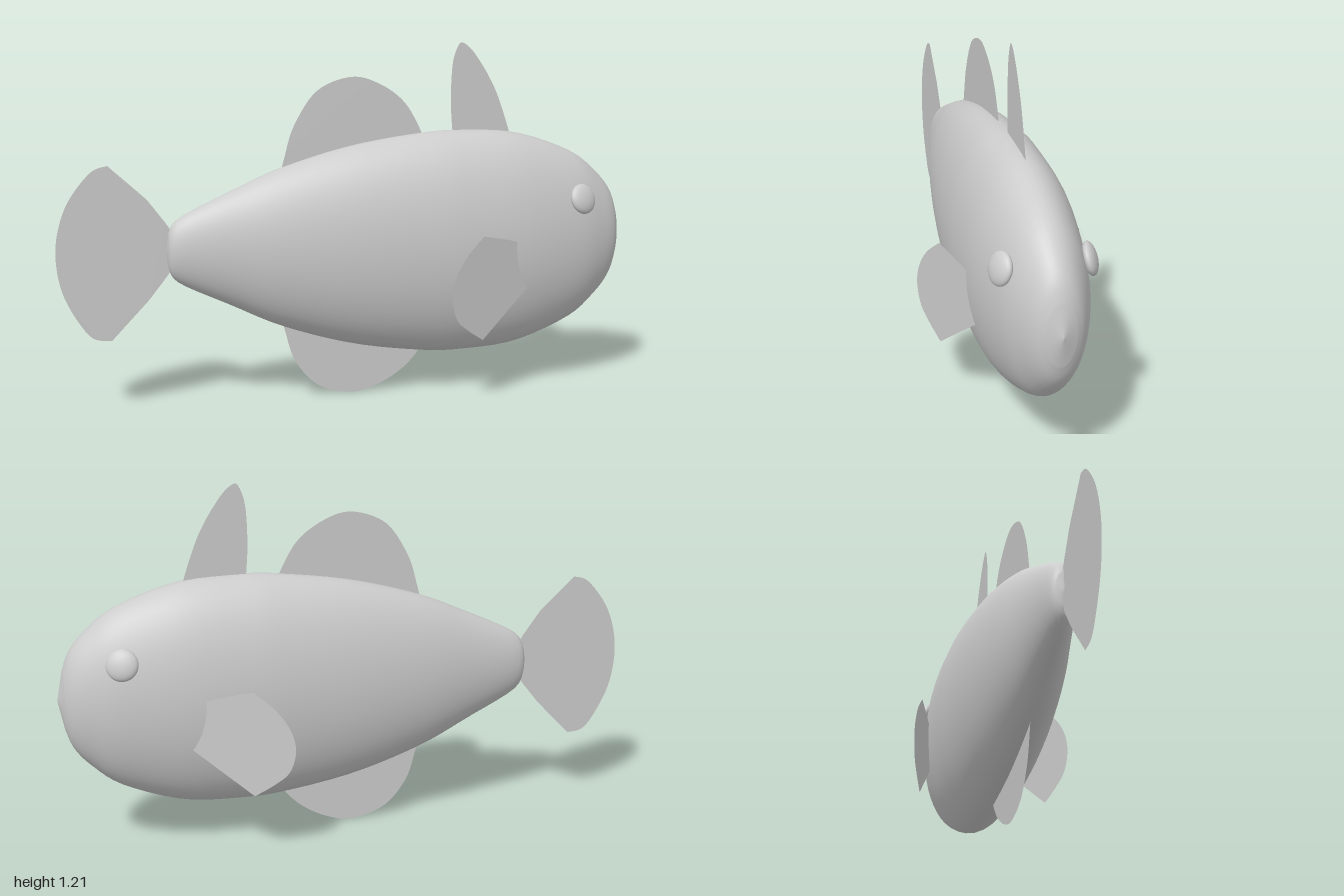
import * as THREE from 'three';

const grey = new THREE.MeshStandardMaterial({ color: 0xcccccc, side: THREE.DoubleSide });
grey.name = 'pale grey';

const vecs = (pts) => pts.map(([x, y]) => new THREE.Vector2(x, y));

// Flat fin: a smooth rim through the points, closed by a straight base
function finGeometry(rim, base = []) {
  const shape = new THREE.Shape();
  shape.moveTo(...rim[0]);
  shape.splineThru(vecs(rim.slice(1)));
  base.forEach(([x, y]) => shape.lineTo(x, y));
  return new THREE.ShapeGeometry(shape, 8);
}

// Body: turned profile laid along x, squeezed in z, with a slight belly sag
function bodyGeometry() {
  const profile = new THREE.SplineCurve(vecs([
    [0.055, -0.633], [0.11, -0.595], [0.2, -0.41], [0.275, -0.24], [0.345, 0], [0.384, 0.25],
    [0.39, 0.4], [0.375, 0.6], [0.305, 0.8], [0.23, 0.9], [0.165, 0.955], [0.1, 0.98],
  ])).getPoints(48);
  const points = [new THREE.Vector2(0, -0.638), ...profile, new THREE.Vector2(0, 1)];
  const geo = new THREE.LatheGeometry(points, 48);
  geo.rotateZ(-Math.PI / 2);
  geo.scale(1, 1, 0.46);
  const p = geo.attributes.position;
  for (let i = 0; i < p.count; i++) {
    const t = (p.getX(i) - 0.35) / 0.8;
    p.setY(i, p.getY(i) + 0.52 + 0.012 * Math.min(1, t * t));
  }
  return geo;
}

export function createModel() {
  const fish = new THREE.Group();
  fish.name = 'fish';
  const add = (name, geometry) => {
    const mesh = new THREE.Mesh(geometry, grey);
    mesh.name = name;
    fish.add(mesh);
    return mesh;
  };

  add('body', bodyGeometry());

  // Fins in the middle plane
  add('rearDorsalFin', finGeometry(
    [[-0.25, 0.77], [-0.235, 0.83], [-0.2, 0.94], [-0.12, 1.055], [0, 1.1], [0.1, 1.075], [0.19, 1.01], [0.25, 0.91], [0.27, 0.86]]));
  add('frontDorsalFin', finGeometry(
    [[0.368, 0.87], [0.358, 1.0], [0.362, 1.13], [0.38, 1.195], [0.402, 1.21], [0.45, 1.165], [0.52, 1.05], [0.575, 0.9], [0.58, 0.86]]));
  add('bellyFin', finGeometry(
    [[-0.25, 0.29], [-0.235, 0.23], [-0.2, 0.125], [-0.12, 0.035], [0, 0], [0.1, 0.022], [0.19, 0.075], [0.25, 0.14], [0.27, 0.19]]));

  // Tail: rounded trailing edge, tapering to the body
  add('tailFin', finGeometry(
    [[-0.825, 0.825], [-0.88, 0.805], [-0.95, 0.72], [-0.987, 0.63], [-1, 0.535], [-0.987, 0.43], [-0.95, 0.34], [-0.89, 0.255], [-0.825, 0.24]],
    [[-0.7, 0.37], [-0.64, 0.445], [-0.6, 0.5], [-0.6, 0.57], [-0.64, 0.63], [-0.7, 0.71]]));

  for (const side of [1, -1]) {
    const label = side > 0 ? 'Front' : 'Back';

    // Side fin, slanting outward towards the tail
    const fin = finGeometry(
      [[0.4, 0.572], [0.33, 0.51], [0.285, 0.44], [0.272, 0.37], [0.292, 0.3], [0.34, 0.255], [0.4, 0.215]],
      [[0.6, 0.38], [0.6, 0.52], [0.5, 0.55]]);
    const p = fin.attributes.position;
    for (let i = 0; i < p.count; i++) p.setZ(i, side * (0.23 - 0.38 * (p.getX(i) - 0.4)));
    fin.computeVertexNormals();
    add('sideFin' + label, fin);

    // Eye: flattened ball lying on the curve of the head
    const eye = add('eye' + label, new THREE.SphereGeometry(1, 24, 16));
    eye.scale.set(0.053, 0.053, 0.022);
    eye.position.set(0.802, 0.67, side * 0.136);
    eye.quaternion.setFromUnitVectors(
      new THREE.Vector3(0, 0, 1), new THREE.Vector3(0.35, 0.33, side).normalize());
  }

  return fish;
}
